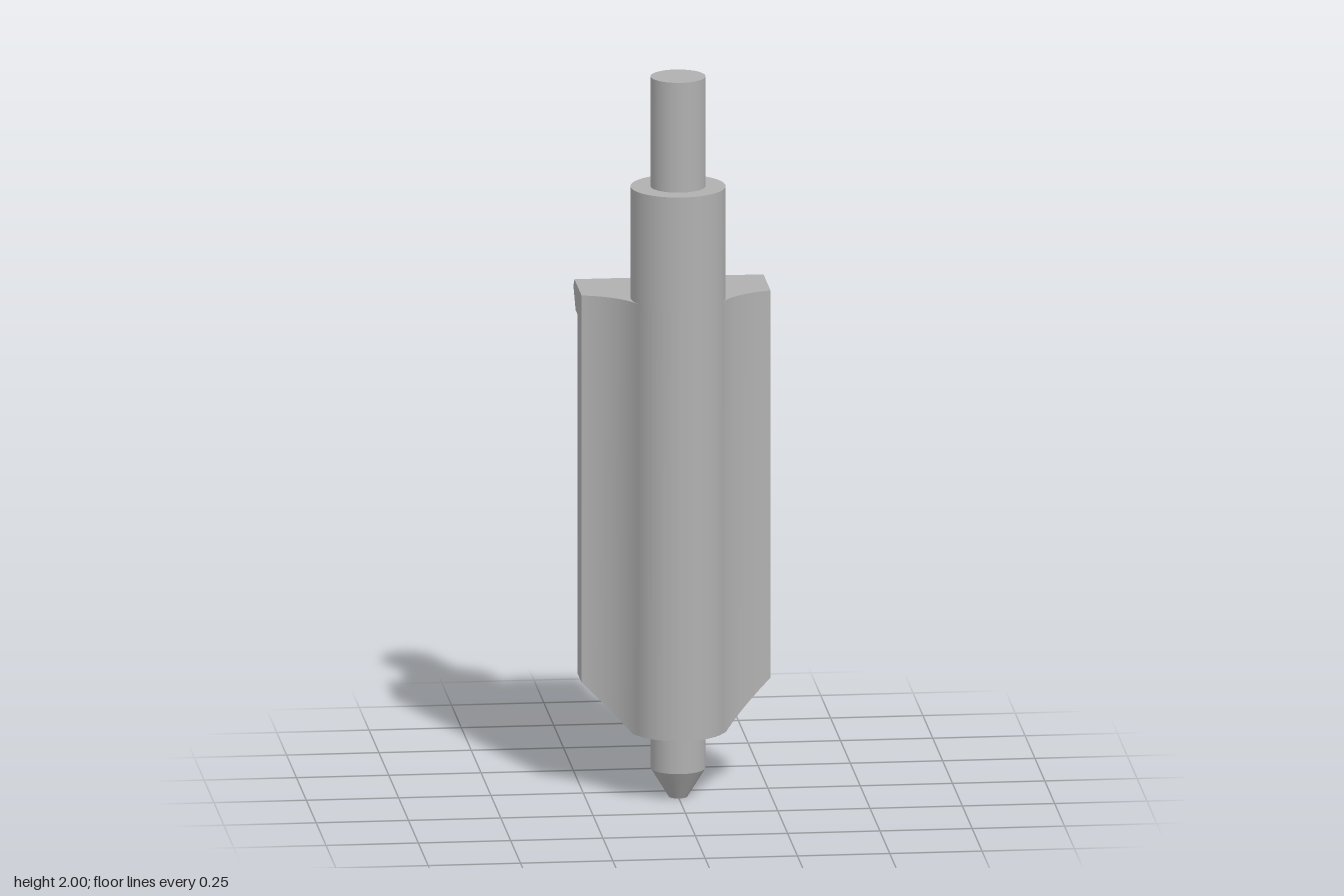
import * as THREE from 'three';
import { toCreasedNormals } from 'three/addons/utils/BufferGeometryUtils.js';

const AXIS_Z = 0.063;      // shared axis of the round parts
const BARREL = 0.128;      // barrel radius
const HALF = 0.256;        // half width of the plate
const BACK = -0.087;
const TOP = 1.385, BOTTOM = 0.185;
const CHAMFER_X = 0.126, CHAMFER_TOP = 0.31;
const FILLET = 0.208, JOIN = THREE.MathUtils.degToRad(27);
const FILLET_X = (BARREL + FILLET) * Math.cos(JOIN);
const FILLET_Z = AXIS_Z + (BARREL + FILLET) * Math.sin(JOIN);

// Front outline: round barrel running tangentially into concave fillets
function frontZ(x) {
  const a = Math.abs(x);
  return a < BARREL * Math.cos(JOIN)
    ? AXIS_Z + Math.sqrt(BARREL ** 2 - a ** 2)
    : FILLET_Z - Math.sqrt(FILLET ** 2 - (a - FILLET_X) ** 2);
}

// Bottom edge: flat in the middle, chamfered at the sides
function bottomY(x) {
  const t = Math.max(0, (Math.abs(x) - CHAMFER_X) / (HALF - CHAMFER_X));
  return BOTTOM + t * (CHAMFER_TOP - BOTTOM);
}

// Body from four-cornered sections placed along x
function bodyGeometry() {
  const half = [CHAMFER_X];
  for (let i = 1; i <= 20; i++) {
    half.push(BARREL * Math.sin((i / 20) * (Math.PI / 2 - JOIN)));
  }
  const start = Math.PI + JOIN;
  const end = Math.PI + Math.acos((FILLET_X - HALF) / FILLET);
  for (let i = 1; i <= 16; i++) {
    half.push(FILLET_X + FILLET * Math.cos(start + (end - start) * i / 16));
  }
  const xs = [0, ...half, ...half.map((x) => -x)].sort((a, b) => a - b);
  const sections = xs.map((x) => [
    [x, TOP, frontZ(x)], [x, TOP, BACK],
    [x, bottomY(x), BACK], [x, bottomY(x), frontZ(x)],
  ]);

  const positions = [];
  const quad = (a, b, c, d) => positions.push(...a, ...b, ...c, ...a, ...c, ...d);
  for (let s = 0; s < sections.length - 1; s++) {
    const p = sections[s], q = sections[s + 1];
    for (let i = 0; i < 4; i++) {
      const j = (i + 1) % 4;
      quad(p[i], q[i], q[j], p[j]);
    }
  }
  const [a, b, c, d] = sections[0];
  quad(a, b, c, d);
  const [e, f, g, h] = sections[sections.length - 1];
  quad(e, h, g, f);

  const geometry = new THREE.BufferGeometry();
  geometry.setAttribute('position', new THREE.Float32BufferAttribute(positions, 3));
  return toCreasedNormals(geometry, Math.PI / 7);
}

// Hooked lip: side profile (z, y) swept across the full width
function lipGeometry() {
  const profile = [
    [BACK, TOP], [BACK, 1.307], [-0.138, 1.307], [-0.193, 1.36], [-0.168, TOP],
  ].map(([z, y]) => new THREE.Vector2(z, y));
  const geometry = new THREE.ExtrudeGeometry(new THREE.Shape(profile), {
    depth: 2 * HALF, bevelEnabled: false,
  });
  geometry.translate(0, 0, -HALF);
  geometry.rotateY(-Math.PI / 2);
  return geometry;
}

export function createModel() {
  const group = new THREE.Group();
  group.name = 'latchPin';
  const grey = new THREE.MeshStandardMaterial({ color: 0xb0b0b0 });
  grey.name = 'grey';

  const add = (name, geometry) => {
    const mesh = new THREE.Mesh(geometry, grey);
    mesh.name = name;
    group.add(mesh);
    return mesh;
  };
  const round = (name, topRadius, bottomRadius, y0, y1) => {
    const mesh = add(name, new THREE.CylinderGeometry(topRadius, bottomRadius, y1 - y0, 64));
    mesh.position.set(0, (y0 + y1) / 2, AXIS_Z);
  };

  add('body', bodyGeometry());
  add('lip', lipGeometry());

  // Stepped shaft above and pointed pin below
  round('collar', BARREL, BARREL, TOP, 1.695);
  round('upperPin', 0.074, 0.074, 1.695, 2);
  round('lowerPin', 0.074, 0.074, 0.08, BOTTOM);
  round('tip', 0.074, 0.025, 0, 0.08);

  return group;
}
